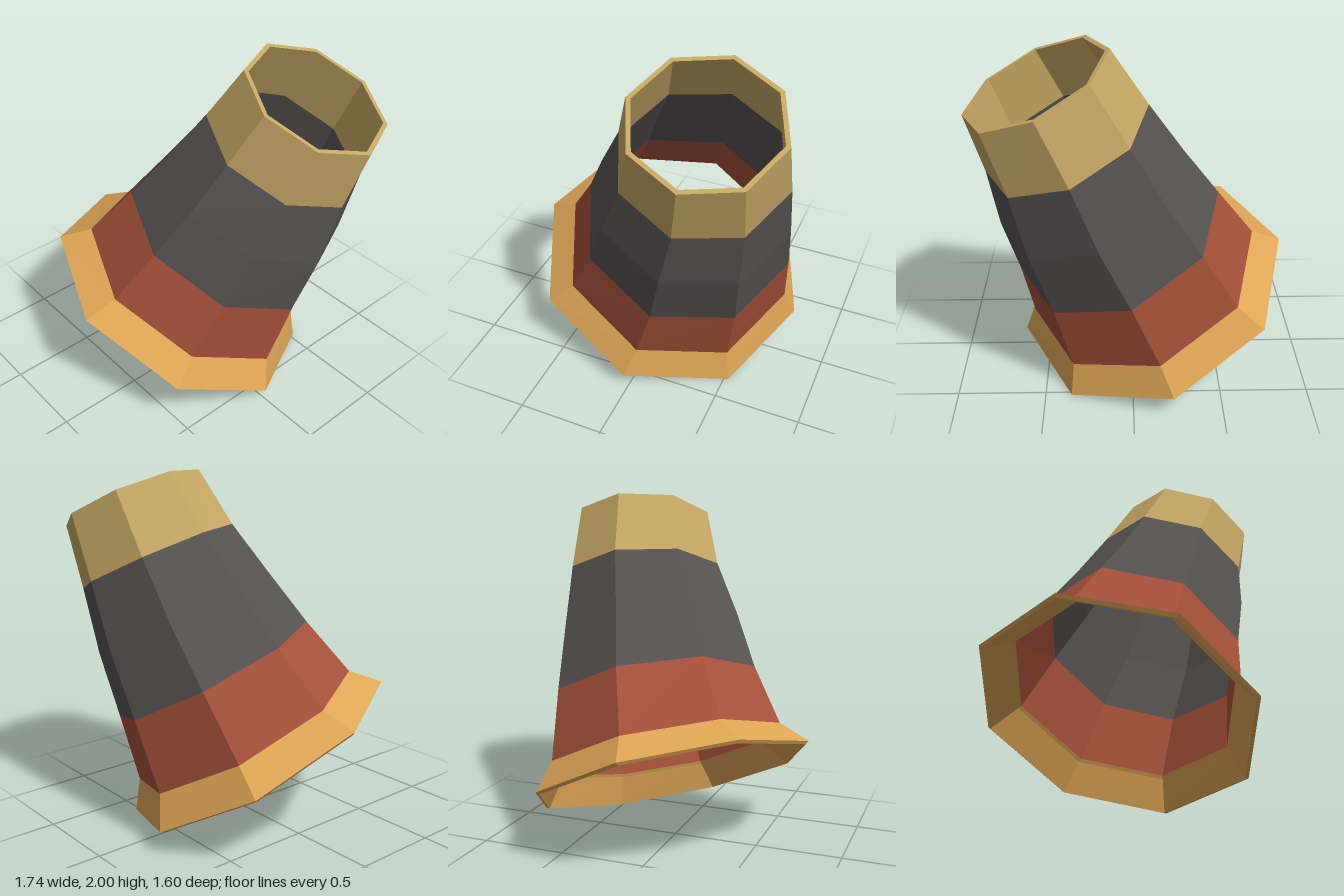
import * as THREE from 'three';

const SIDES = 8;
const mat = (name, color) => {
  const m = new THREE.MeshStandardMaterial({ color, flatShading: true });
  m.name = name;
  return m;
};

// Cross-sections from bottom to top: centre, radius, sideways lean and backward pitch in degrees
const RINGS = {
  lip: { c: [-0.115, 0.40, 0.02], r: 0.822, lean: 21.8, pitch: 20 },
  neck: { c: [-0.06, 0.53, -0.04], r: 0.695, lean: 22, pitch: 19 },
  lower: { c: [0.08, 0.865, -0.155], r: 0.61, lean: 23, pitch: 16.7 },
  middle: { c: [0.225, 1.18, -0.245], r: 0.545, lean: 23, pitch: 14 },
  upper: { c: [0.345, 1.505, -0.335], r: 0.466, lean: 23, pitch: 11 },
  top: { c: [0.488, 1.83, -0.397], r: 0.412, lean: 24.2, pitch: 8.4 },
};

// Corners of a tilted octagon; inset shrinks the radius, drop shifts it down its axis
function corners({ c, r, lean, pitch }, inset = 0, drop = 0) {
  const t = THREE.MathUtils.degToRad(lean), p = THREE.MathUtils.degToRad(pitch);
  const u = new THREE.Vector3(-Math.cos(t), Math.sin(t), 0);
  const v = new THREE.Vector3(Math.sin(t) * Math.sin(p), Math.cos(t) * Math.sin(p), Math.cos(p));
  const axis = u.clone().cross(v);
  return Array.from({ length: SIDES }, (_, i) => {
    const a = (i / SIDES) * Math.PI * 2;
    return new THREE.Vector3(...c)
      .addScaledVector(u, Math.cos(a) * (r - inset))
      .addScaledVector(v, Math.sin(a) * (r - inset))
      .addScaledVector(axis, -drop);
  });
}

// Joins successive loops with flat quads
function loft(name, loops, material) {
  const pos = [];
  for (let k = 0; k + 1 < loops.length; k++) {
    const a = loops[k], b = loops[k + 1];
    for (let i = 0; i < SIDES; i++) {
      const j = (i + 1) % SIDES;
      for (const q of [a[i], a[j], b[j], a[i], b[j], b[i]]) pos.push(q.x, q.y, q.z);
    }
  }
  const geo = new THREE.BufferGeometry();
  geo.setAttribute('position', new THREE.Float32BufferAttribute(pos, 3));
  geo.computeVertexNormals();
  const mesh = new THREE.Mesh(geo, material);
  mesh.name = name;
  return mesh;
}

export function createModel() {
  const group = new THREE.Group();
  group.name = 'bentSleeve';
  const { lip, neck, lower, middle, upper, top } = RINGS;
  const WALL = 0.026;

  // Flared hem: outer wall, inner wall, bevelled lip and the ledge under the body
  group.add(loft('flaredHem', [
    corners(neck, 0.034), corners(neck, 0.018, 0.016), corners(lip, 0.02, 0.014),
    corners(lip), corners(neck),
  ], mat('amber', 0xdfa656)));

  // Body bands, each with outer and inner walls
  const band = (name, rings, material) => {
    group.add(loft(name + 'Outside', rings.map((r) => corners(r)), material));
    group.add(loft(name + 'Inside', [...rings].reverse().map((r) => corners(r, r === neck ? 0.034 : WALL)), material));
  };
  band('lowerBand', [neck, lower], mat('rust', 0xa5513a));
  band('middleBand', [lower, middle, upper], mat('charcoal', 0x575353));

  // Top collar with its open rim
  group.add(loft('topCollar', [
    corners(upper), corners(top), corners(top, WALL), corners(upper, WALL),
  ], mat('tan', 0xc6a864)));

  return group;
}
